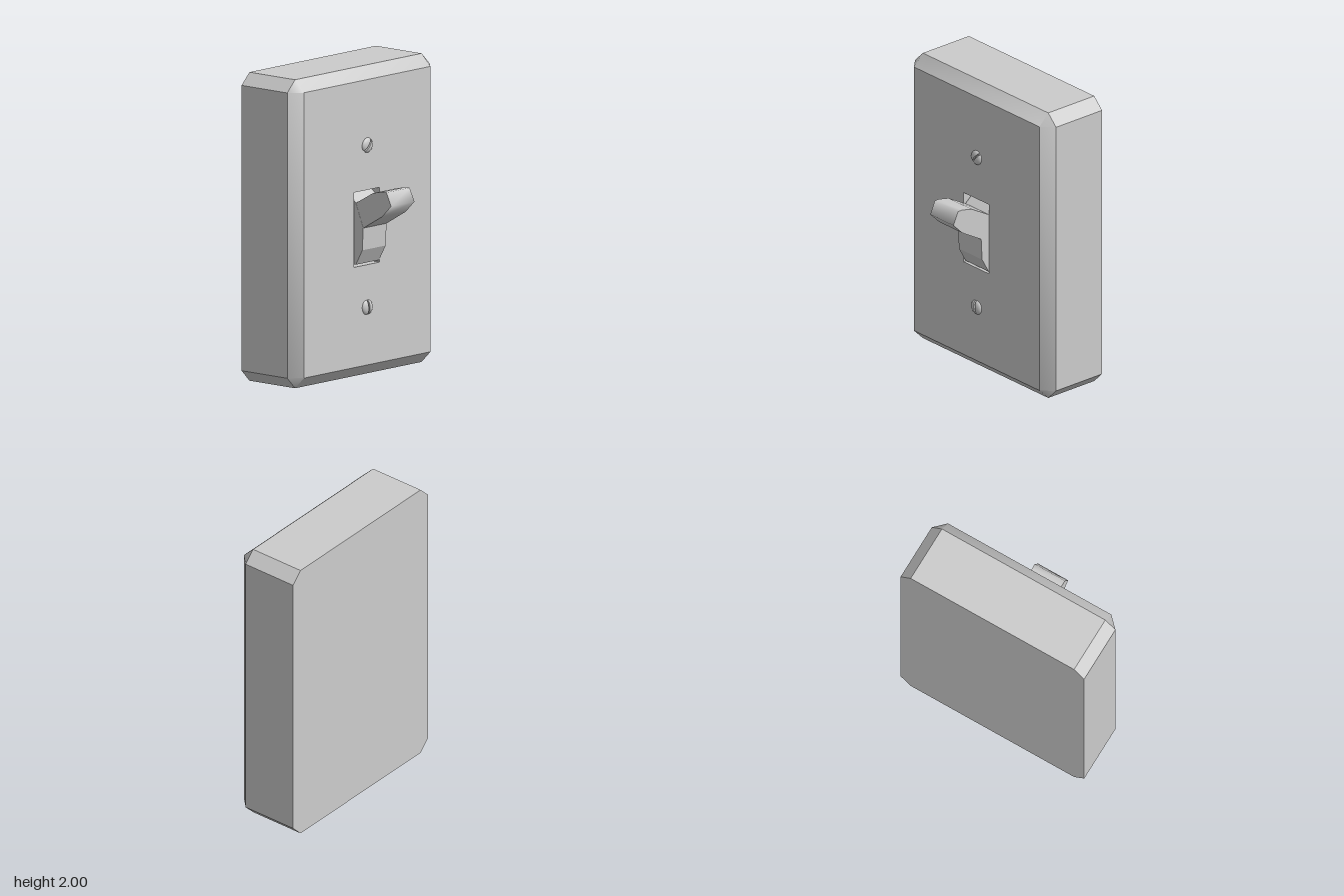
import * as THREE from 'three';
import { mergeGeometries, toCreasedNormals } from 'three/addons/utils/BufferGeometryUtils.js';

const grey = new THREE.MeshStandardMaterial({ color: 0xcccccc });

function mesh(name, geometry) {
  const m = new THREE.Mesh(geometry, grey);
  m.name = name;
  return m;
}

const toShape = (points) => new THREE.Shape(points.map(([x, y]) => new THREE.Vector2(x, y)));

// Skin between successive closed rings of [x, y, z], skipping collapsed triangles
function loft(rings, crease) {
  const out = [];
  const same = (a, b) => a.every((v, i) => v === b[i]);
  const tri = (a, b, c) => {
    if (!same(a, b) && !same(b, c) && !same(a, c)) out.push(...a, ...b, ...c);
  };
  for (let k = 0; k + 1 < rings.length; k++) {
    const lo = rings[k], hi = rings[k + 1], n = lo.length;
    for (let i = 0; i < n; i++) {
      const j = (i + 1) % n;
      tri(lo[i], lo[j], hi[j]);
      tri(lo[i], hi[j], hi[i]);
    }
  }
  const g = new THREE.BufferGeometry();
  g.setAttribute('position', new THREE.Float32BufferAttribute(out, 3));
  g.computeVertexNormals();
  return toCreasedNormals(g, crease);
}

// Side profile of [z, y] points extruded across x
function profilePart(name, points, x0, x1, crease) {
  const g = new THREE.ExtrudeGeometry(toShape(points.map(([z, y]) => [-z, y])),
    { depth: x1 - x0, bevelEnabled: false });
  g.rotateY(Math.PI / 2).translate(x0, 0, 0);
  // shape x (-z) lands on world z after the turn
  return mesh(name, toCreasedNormals(g, crease));
}

// Domed screw head in two halves separated by a slot
function screw(name, y, turn) {
  const r = 0.048, slot = 0.006, group = new THREE.Group();
  const dome = new THREE.SphereGeometry(r, 12, 6, 0, Math.PI, 0, Math.PI / 2);
  const wall = new THREE.CircleGeometry(r, 12, 0, Math.PI).rotateY(Math.PI);
  const half = mergeGeometries([dome, wall])
    .scale(1, 0.46, (r - slot) / r)
    .translate(0, 0, slot)
    .rotateX(Math.PI / 2);
  for (const angle of [0, Math.PI]) {
    const m = mesh('screwHalf', half);
    m.rotation.z = angle;
    group.add(m);
  }
  group.name = name;
  group.position.set(0, y, 0.083);
  group.rotation.z = turn;
  return group;
}

export function createModel() {
  const model = new THREE.Group();
  const back = -0.38, shoulder = 0.01, front = 0.085;
  const X = 0.68, x = 0.605, Y0 = 0, y0 = 0.075, y1 = 1.925, Y1 = 2;

  // Housing: chamfered outline, bevelled towards the front rectangle
  const outline = [[x, Y0], [X, y0], [X, y1], [x, Y1], [-x, Y1], [-X, y1], [-X, y0], [-x, Y0]];
  const inner = outline.map(([px, py]) =>
    [Math.sign(px) * x, py < 1 ? y0 : y1]);
  const at = (points, z) => points.map(([px, py]) => [px, py, z]);
  model.add(mesh('housingSides', loft([at(outline, back), at(outline, shoulder)], 0.3)));
  model.add(mesh('frontBevel', loft([at(outline, shoulder), at(inner, front)], 0.7)));
  model.add(mesh('backPanel',
    new THREE.ShapeGeometry(toShape(outline)).rotateY(Math.PI).translate(0, 0, back)));

  // Front plate with the switch opening
  const opening = [[-0.125, 0.725], [0.117, 0.725], [0.117, 1.21], [-0.125, 1.21]];
  const plate = toShape([[-x, y0], [x, y0], [x, y1], [-x, y1]]);
  plate.holes.push(toShape(opening));
  model.add(mesh('frontPlate', new THREE.ShapeGeometry(plate).translate(0, 0, front)));

  // Recess behind the opening
  const floor = -0.02;
  model.add(mesh('recessWalls', loft([at(opening, front), at(opening, floor)], 0.3)));
  model.add(mesh('recessFloor', new THREE.ShapeGeometry(toShape(opening)).translate(0, 0, floor)));

  // Toggle: faceted rocker body and smooth lever
  const toggle = new THREE.Group();
  toggle.name = 'toggle';
  toggle.add(profilePart('toggleBody', [
    [-0.02, 0.74], [0.085, 0.74], [0.14, 0.84], [0.148, 0.985],
    [0.085, 1.14], [0.02, 1.195], [-0.02, 1.2],
  ], -0.108, 0.115, 0.3));
  toggle.add(profilePart('toggleLever', [
    [0.08, 0.985], [0.148, 0.985], [0.31, 1.08], [0.385, 1.155],
    [0.345, 1.24], [0.31, 1.24], [0.23, 1.222], [0.085, 1.14],
  ], -0.107, 0.116, 1.25));
  model.add(toggle);

  // Plate screws
  model.add(screw('upperScrew', 1.5, 0.85));
  model.add(screw('lowerScrew', 0.45, 1.65));
  return model;
}
